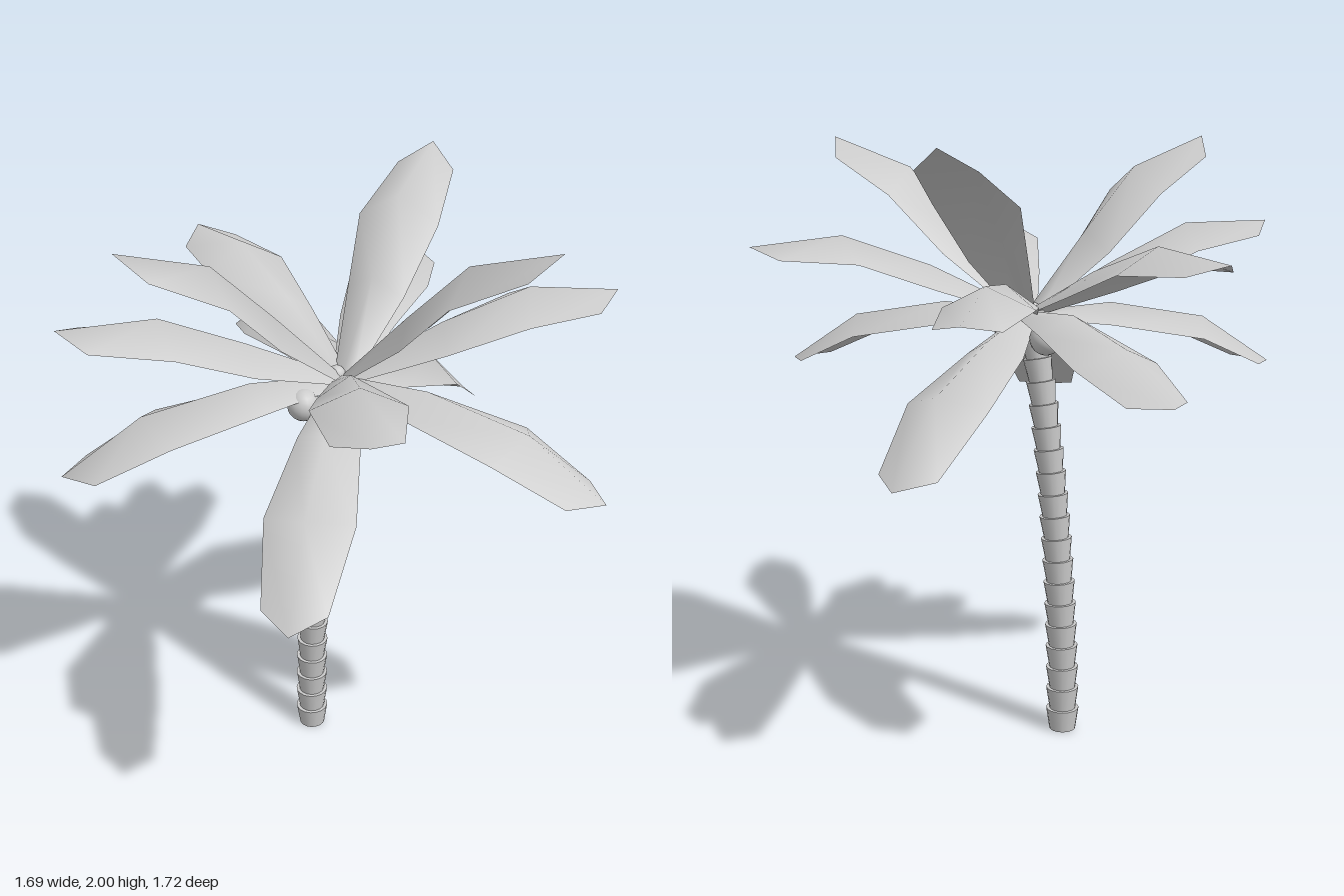
import * as THREE from 'three';

const CROWN = new THREE.Vector3(-0.065, 1.45, 0.045);

// Centre line of the leaning trunk
const trunkPoint = (y) => new THREE.Vector3(-0.2 + 0.059 * y * y, y, 0.05);

// Fronds: heading in degrees (0 = +x, 90 = +z) and spine points [reach, height]
const TOP = [[0, 1.45], [0.23, 1.70], [0.43, 1.905], [0.72, 2.0]];
const MID = [[0, 1.45], [0.32, 1.61], [0.60, 1.71], [0.89, 1.68]];
const MID_FLAT = [[0, 1.45], [0.30, 1.60], [0.57, 1.72], [0.875, 1.72]];
const BACK = [[0, 1.45], [0.33, 1.58], [0.61, 1.61], [0.92, 1.54]];
const LOW = [[0, 1.45], [0.30, 1.465], [0.645, 1.40], [0.905, 1.23]];
const LOW_FLAT = [[0, 1.45], [0.32, 1.48], [0.65, 1.425], [0.92, 1.30]];
const LOW_STEEP = [[0, 1.45], [0.27, 1.39], [0.60, 1.27], [0.85, 1.04]];
const FRONDS = [
  ['upperFrond', 3, TOP], ['upperFrond', 124.5, TOP], ['upperFrond', 268.5, TOP],
  ['middleFrond', 324, MID], ['middleFrond', 58, MID], ['middleFrond', 137, MID_FLAT],
  ['middleFrond', 208.5, MID], ['middleFrond', 259.5, BACK],
  ['lowerFrond', 2, LOW], ['lowerFrond', 73.5, LOW_STEEP], ['lowerFrond', 137, LOW],
  ['lowerFrond', 222, LOW_FLAT], ['lowerFrond', 275, LOW_STEEP],
];

// Per station: half width, drop of the edges below the spine, pull back of the edges
const SECTIONS = [[0.035, 0.02, 0], [0.1, 0.065, 0.03], [0.14, 0.075, 0.04], [0.1, 0.043, 0.08]];

// Tent-shaped leaf blade, three points across each station
function frondGeometry(spine) {
  const pos = [], index = [];
  spine.forEach(([r, y], i) => {
    const a = spine[Math.max(i - 1, 0)], b = spine[Math.min(i + 1, spine.length - 1)];
    const t = new THREE.Vector2(b[0] - a[0], b[1] - a[1]).normalize();
    const [w, drop, back] = SECTIONS[i];
    const er = r - t.x * back + t.y * drop;
    const ey = y - t.y * back - t.x * drop;
    pos.push(er, ey - CROWN.y, -w, r, y - CROWN.y, 0, er, ey - CROWN.y, w);
    if (i === 0) return;
    for (let k = 0; k < 2; k++) {
      const p = (i - 1) * 3 + k, q = p + 3;
      index.push(p, p + 1, q, p + 1, q + 1, q);
    }
  });
  const g = new THREE.BufferGeometry();
  g.setAttribute('position', new THREE.Float32BufferAttribute(pos, 3));
  g.setIndex(index);
  g.computeVertexNormals();
  return g;
}

export function createModel() {
  const group = new THREE.Group();
  const material = new THREE.MeshStandardMaterial({ color: 0xcccccc });
  const leafMaterial = new THREE.MeshStandardMaterial({ color: 0xcccccc, side: THREE.DoubleSide });

  // Trunk of stacked rings, each flaring toward its top
  const trunk = new THREE.Group();
  trunk.name = 'trunk';
  const count = 19, pitch = 1.45 / count;
  const up = new THREE.Vector3(0, 1, 0);
  for (let i = 0; i < count; i++) {
    const a = trunkPoint(i * pitch), b = trunkPoint((i + 1) * pitch);
    const r = 0.056 - 0.009 * (i / count);
    const ring = new THREE.Mesh(new THREE.CylinderGeometry(r, r * 0.8, a.distanceTo(b), 16), material);
    ring.name = 'trunkRing';
    ring.position.copy(a).add(b).multiplyScalar(0.5);
    ring.quaternion.setFromUnitVectors(up, b.sub(a).normalize());
    trunk.add(ring);
  }
  group.add(trunk);

  // Rounded bud where the fronds meet
  const bud = new THREE.Mesh(new THREE.SphereGeometry(0.03, 12, 8), material);
  bud.name = 'crownBud';
  bud.position.set(-0.085, 1.45, 0.045);
  group.add(bud);

  // Fronds around the crown
  for (const [name, heading, spine] of FRONDS) {
    const frond = new THREE.Mesh(frondGeometry(spine), leafMaterial);
    frond.name = name;
    frond.position.copy(CROWN);
    frond.rotation.y = -THREE.MathUtils.degToRad(heading);
    group.add(frond);
  }

  // Nuts hanging beneath the crown
  for (const [x, y, z] of [[-0.17, 1.38, -0.055], [0.037, 1.38, 0.135], [-0.14, 1.385, 0.165]]) {
    const nut = new THREE.Mesh(new THREE.SphereGeometry(0.053, 16, 12), material);
    nut.name = 'nut';
    nut.position.set(x, y, z);
    group.add(nut);
  }
  return group;
}
